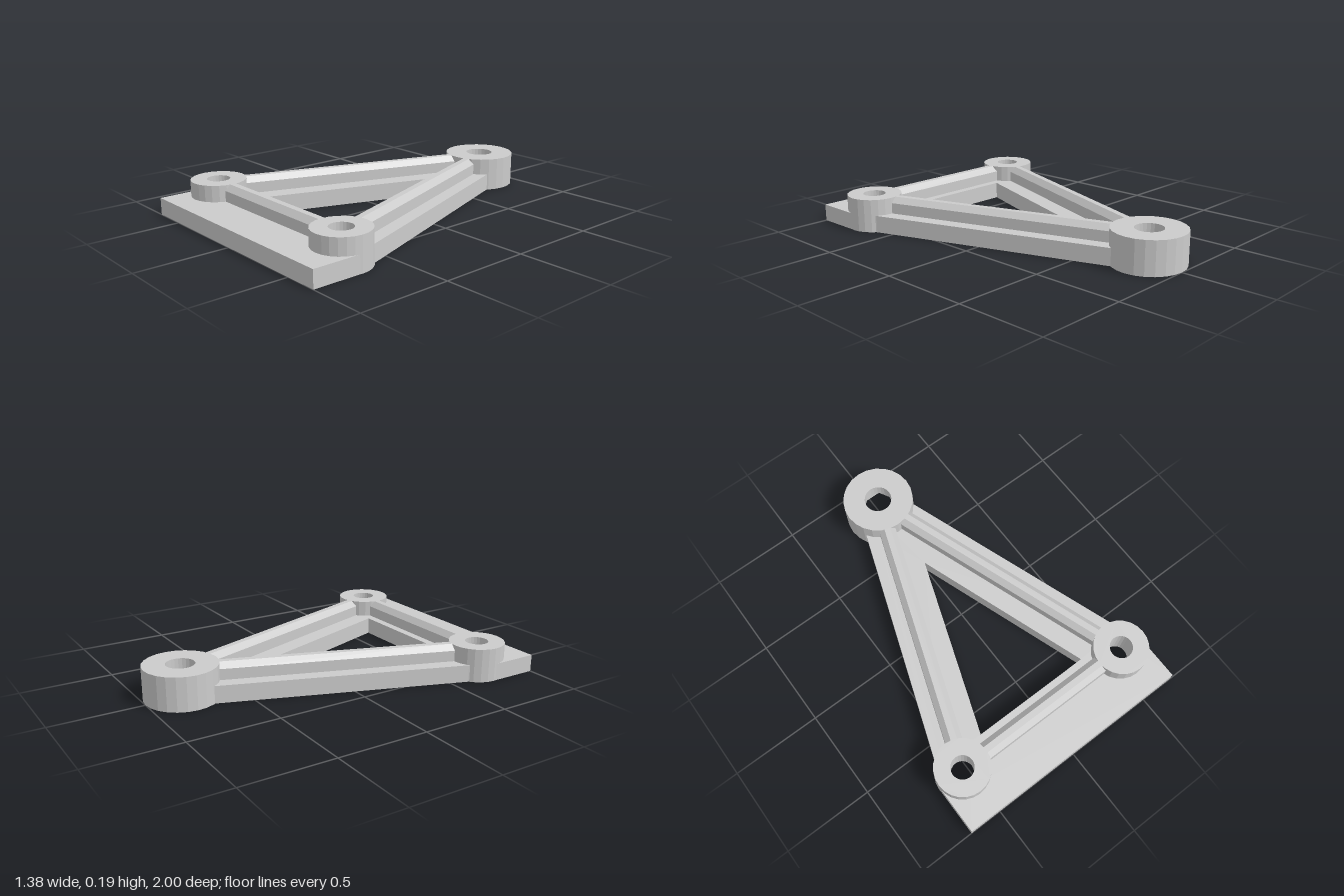
import * as THREE from 'three';

const PLATE = 0.095, TOP = 0.186;
const CORNER = { x: 0.537, z: 0.722, r: 0.152, hole: 0.063 };
const APEX = { x: 0, z: -0.8, r: 0.2, hole: 0.077 };
const SEGMENTS = 24;

export function createModel() {
  const model = new THREE.Group();
  const material = new THREE.MeshStandardMaterial({ color: 0xcccccc, flatShading: true });

  function add(name, geometry) {
    const mesh = new THREE.Mesh(geometry, material);
    mesh.name = name;
    model.add(mesh);
  }

  // Regular polygon in plan, first corner on the x axis
  function polygon(x, z, r, n, Type = THREE.Path) {
    const points = [];
    for (let i = 0; i < n; i++) {
      const a = (i / n) * Math.PI * 2;
      points.push(new THREE.Vector2(x + r * Math.cos(a), z + r * Math.sin(a)));
    }
    return new Type(points);
  }

  // Extrude a plan shape (x, z) upwards from y0 to y1
  function slab(shape, y0, y1) {
    const g = new THREE.ExtrudeGeometry(shape, { depth: y1 - y0, bevelEnabled: false, curveSegments: 8 });
    return g.rotateX(Math.PI / 2).translate(0, y1, 0);
  }

  function boss(name, c, y0, y1, holeRadius, holeSides) {
    const shape = polygon(c.x, c.z, c.r, SEGMENTS, THREE.Shape);
    shape.holes.push(polygon(c.x, c.z, holeRadius, holeSides));
    add(name, slab(shape, y0, y1));
  }

  // Base plate: front ledge, two slanted arms, triangular window
  const plate = new THREE.Shape();
  plate.moveTo(0.687, 1);
  plate.lineTo(0.687, 0.722);
  plate.lineTo(0.624, 0.595);
  plate.lineTo(0.165, -0.7);
  plate.absarc(0, APEX.z, 0.193, Math.PI / 6, Math.PI * 5 / 6, false);
  plate.lineTo(-0.165, -0.7);
  plate.lineTo(-0.624, 0.595);
  plate.lineTo(-0.687, 0.722);
  plate.lineTo(-0.687, 1);
  plate.holes.push(new THREE.Path([
    new THREE.Vector2(0, -0.35), new THREE.Vector2(0.346, 0.63), new THREE.Vector2(-0.346, 0.63),
  ]));
  for (const s of [-1, 1]) plate.holes.push(polygon(s * CORNER.x, CORNER.z, 0.1, SEGMENTS));
  add('basePlate', slab(plate, 0, PLATE));

  // Corner bosses with bolt holes
  const left = { ...CORNER }, right = { ...CORNER, x: -CORNER.x };
  boss('leftBoss', left, 0, TOP, CORNER.hole, SEGMENTS);
  boss('rightBoss', right, 0, TOP, CORNER.hole, SEGMENTS);

  // Rear boss: hexagonal nut pocket below, round bolt hole above
  const pocket = 0.115;
  boss('rearBossPocket', APEX, 0, pocket, 0.14, 6);
  boss('rearBossTop', APEX, pocket, TOP, APEX.hole, SEGMENTS);

  // Chamfered ribs running from boss to boss
  const section = new THREE.Shape([
    [-0.047, PLATE - 0.01], [0.047, PLATE - 0.01], [0.047, 0.155],
    [0.017, TOP], [-0.017, TOP], [-0.047, 0.155],
  ].map(([x, y]) => new THREE.Vector2(x, y)));

  function rib(name, a, b) {
    const dx = b.x - a.x, dz = b.z - a.z, span = Math.hypot(dx, dz);
    const start = a.r - 0.012, end = span - b.r + 0.012;
    const g = new THREE.ExtrudeGeometry(section, { depth: end - start, bevelEnabled: false });
    g.translate(0, 0, start).rotateY(Math.atan2(dx, dz)).translate(a.x, 0, a.z);
    add(name, g);
  }
  rib('frontRib', right, left);
  rib('leftRib', left, APEX);
  rib('rightRib', right, APEX);

  return model;
}
